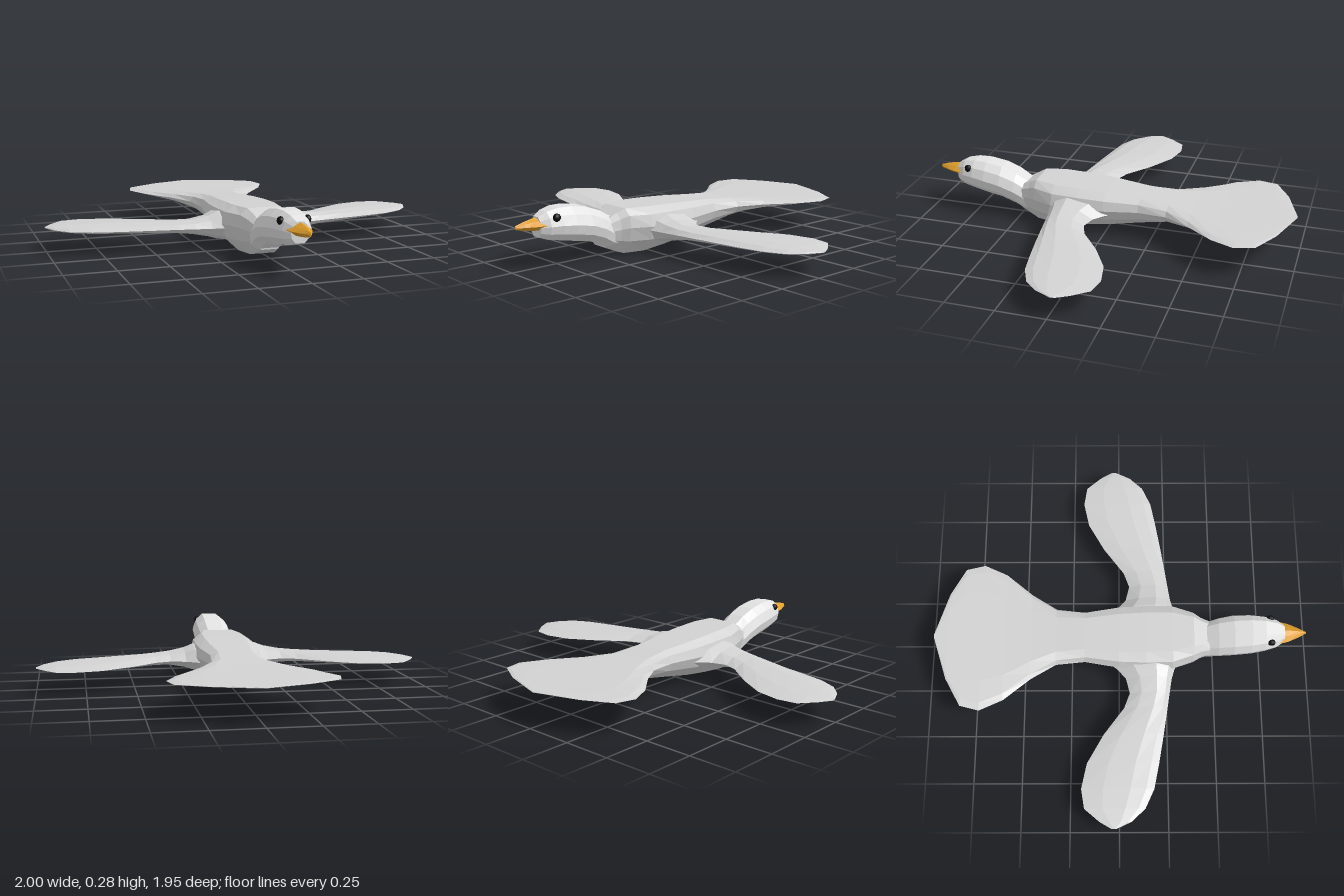
import * as THREE from 'three';

// Skin a list of equal-length rings of [x, y, z], close both ends, face outward
function loft(rings) {
  const n = rings[0].length, tris = [];
  const centre = r => [0, 1, 2].map(k => r.reduce((s, p) => s + p[k], 0) / n);
  const first = rings[0], last = rings[rings.length - 1];
  const c0 = centre(first), c1 = centre(last);
  for (let j = 0; j < n; j++) {
    const k = (j + 1) % n;
    for (let i = 0; i < rings.length - 1; i++) {
      const a = rings[i], b = rings[i + 1];
      tris.push([a[j], b[j], b[k]], [a[j], b[k], a[k]]);
    }
    tris.push([c0, first[j], first[k]], [c1, last[k], last[j]]);
  }
  // signed volume decides whether the winding must be flipped
  const v = t => t.map(p => new THREE.Vector3(...p));
  const volume = tris.reduce((s, t) => {
    const [a, b, c] = v(t);
    return s + a.dot(b.cross(c));
  }, 0);
  if (volume < 0) tris.forEach(t => t.reverse());
  const geo = new THREE.BufferGeometry();
  geo.setAttribute('position', new THREE.Float32BufferAttribute(tris.flat(2), 3));
  geo.computeVertexNormals();
  return geo;
}

// Cross-section outlines in unit coordinates
const BODY = [[0.62, 1], [0.9, 0.72], [1, 0.2], [0.88, -0.4], [0.5, -1],
  [-0.5, -1], [-0.88, -0.4], [-1, 0.2], [-0.9, 0.72], [-0.62, 1]];
const HEAD = [[0.42, 1], [0.8, 0.6], [1, 0], [0.9, -0.55], [0.5, -1],
  [-0.5, -1], [-0.9, -0.55], [-1, 0], [-0.8, 0.6], [-0.42, 1]];
const WING = [[1, 0], [0.78, 0.65], [0.35, 1], [-0.4, 0.75], [-1, 0],
  [-0.4, -0.75], [0.35, -1], [0.78, -0.65]];
const BEAK = [[0, 1], [0.5, 0.55], [1, -0.1], [0.45, -0.8], [0, -1],
  [-0.45, -0.8], [-1, -0.1], [-0.5, 0.55]];

// Stations along z: [z, half width, bottom y, top y]
const alongZ = (stations, outline) => loft(stations.map(([z, w, lo, hi]) =>
  outline.map(([u, v]) => [u * w, (lo + hi) / 2 + v * (hi - lo) / 2, z])));

// Stations along x: [x, trailing z, leading z, bottom y, top y]
const alongX = (stations, outline, side) => loft(stations.map(([x, back, front, lo, hi]) =>
  outline.map(([u, v]) => [side * x, (lo + hi) / 2 + v * (hi - lo) / 2,
    (back + front) / 2 + u * (front - back) / 2])));

export function createModel() {
  const plumage = new THREE.MeshStandardMaterial({ color: 0xd2d2d2 });
  const headWhite = new THREE.MeshStandardMaterial({ color: 0xe2e2e2 });
  const beakOrange = new THREE.MeshStandardMaterial({ color: 0xe09f2c });
  const eyeBlack = new THREE.MeshStandardMaterial({ color: 0x0c0c0c });
  plumage.name = 'plumage';
  headWhite.name = 'headWhite';
  beakOrange.name = 'beakOrange';
  eyeBlack.name = 'eyeBlack';

  const bird = new THREE.Group();
  bird.name = 'bird';
  const add = (name, geo, mat) => {
    const mesh = new THREE.Mesh(geo, mat);
    mesh.name = name;
    bird.add(mesh);
    return mesh;
  };

  // Body running back into the fanned tail
  add('bodyAndTail', alongZ([
    [0.49, 0.085, 0.045, 0.185], [0.43, 0.105, 0.018, 0.215], [0.39, 0.13, 0.004, 0.235],
    [0.28, 0.172, 0.002, 0.233], [0.14, 0.175, 0.015, 0.228], [0.0, 0.168, 0.032, 0.22],
    [-0.18, 0.138, 0.062, 0.207], [-0.33, 0.155, 0.092, 0.194], [-0.46, 0.235, 0.12, 0.186],
    [-0.6, 0.35, 0.141, 0.181], [-0.72, 0.405, 0.15, 0.179], [-0.82, 0.38, 0.158, 0.177],
    [-0.9, 0.235, 0.164, 0.176], [-0.973, 0.008, 0.17, 0.174],
  ], BODY), plumage);

  // Neck and head
  add('head', alongZ([
    [0.4, 0.095, 0.02, 0.2], [0.46, 0.092, 0.035, 0.203], [0.52, 0.102, 0.07, 0.238],
    [0.6, 0.108, 0.1, 0.268], [0.69, 0.104, 0.115, 0.283], [0.76, 0.092, 0.128, 0.284],
    [0.82, 0.073, 0.138, 0.272], [0.86, 0.045, 0.152, 0.25],
  ], HEAD), headWhite);

  // Beak
  add('beak', alongZ([
    [0.83, 0.062, 0.18, 0.25], [0.88, 0.05, 0.184, 0.245],
    [0.93, 0.028, 0.192, 0.235], [0.974, 0.005, 0.203, 0.222],
  ], BEAK), beakOrange);

  for (const side of [1, -1]) {
    const label = side > 0 ? 'left' : 'right';

    // Rounded paddle wing
    add(label + 'Wing', alongX([
      [0.1, -0.1, 0.33, 0.04, 0.2], [0.17, -0.01, 0.29, 0.05, 0.192],
      [0.22, 0.035, 0.275, 0.066, 0.172], [0.3, 0.055, 0.262, 0.083, 0.156],
      [0.38, 0.025, 0.25, 0.09, 0.15], [0.52, -0.08, 0.228, 0.093, 0.147],
      [0.67, -0.165, 0.202, 0.095, 0.144], [0.8, -0.193, 0.176, 0.099, 0.141],
      [0.9, -0.177, 0.13, 0.104, 0.136], [0.965, -0.1, 0.06, 0.111, 0.129],
      [1.0, -0.04, -0.015, 0.117, 0.123],
    ], WING, side), plumage);

    // Eye
    const eye = add(label + 'Eye', new THREE.IcosahedronGeometry(0.021, 1), eyeBlack);
    eye.scale.x = 0.8;
    eye.position.set(side * 0.066, 0.245, 0.787);
  }
  return bird;
}
